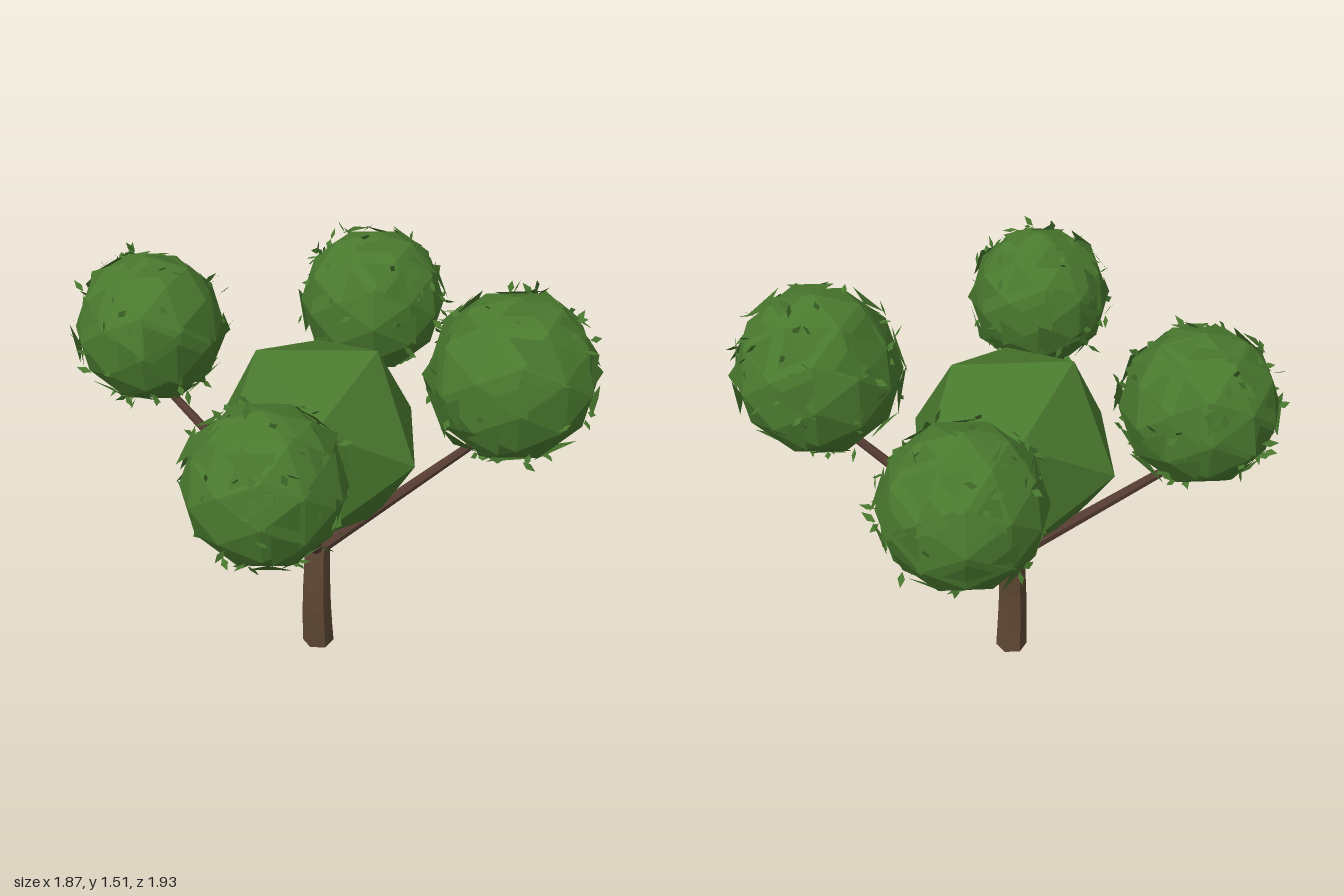
import * as THREE from 'three';

const foliage = new THREE.MeshStandardMaterial({ name: 'foliageGreen', color: 0x4a7a2f, flatShading: true });
const leafMat = new THREE.MeshStandardMaterial({ name: 'leafGreen', color: 0x47752d, flatShading: true, side: THREE.DoubleSide });
const bark = new THREE.MeshStandardMaterial({ name: 'trunkBrown', color: 0x5f4834, flatShading: true });
const branchBark = new THREE.MeshStandardMaterial({ name: 'branchBrown', color: 0x583e34, flatShading: true });

// Seeded random numbers
let seed = 7;
const rand = () => (seed = (seed * 16807) % 2147483647) / 2147483647;
const spread = (a) => (rand() * 2 - 1) * a;

function add(parent, name, geometry, material) {
  const mesh = new THREE.Mesh(geometry, material);
  mesh.name = name;
  parent.add(mesh);
  return mesh;
}

function randomDirection() {
  const y = rand() * 2 - 1, a = rand() * Math.PI * 2, s = Math.sqrt(1 - y * y);
  return new THREE.Vector3(s * Math.cos(a), y, s * Math.sin(a));
}

function fromTriangles(points) {
  const g = new THREE.BufferGeometry().setFromPoints(points);
  g.computeVertexNormals();
  return g;
}

// Loose shards: crown facets shrunk, tilted and lifted a little off the surface
function shardGeometry(r) {
  const pos = new THREE.IcosahedronGeometry(r, 1).getAttribute('position');
  const pts = [];
  for (let i = 0; i < pos.count; i += 3) {
    const corners = [0, 1, 2].map((k) => new THREE.Vector3().fromBufferAttribute(pos, i + k));
    const mid = corners[0].clone().add(corners[1]).add(corners[2]).divideScalar(3);
    if (rand() < (mid.y > 0 ? 0.35 : 0.6)) continue;
    const size = 0.6 + rand() * 0.35;
    const shift = new THREE.Vector3(spread(0.04), spread(0.04), spread(0.04));
    for (const c of corners) {
      c.sub(mid).multiplyScalar(size).add(mid).add(shift);
      c.setLength(r * (0.97 + rand() * 0.1));
      pts.push(c);
    }
  }
  return fromTriangles(pts);
}

// Small pointed leaves scattered over the crown
function leafGeometry(r, count) {
  const pts = [];
  for (let i = 0; i < count; i++) {
    const out = randomDirection();
    const base = out.clone().multiplyScalar(r * (0.95 + rand() * 0.07));
    const along = randomDirection().addScaledVector(out, 0.5).normalize();
    const side = new THREE.Vector3().crossVectors(along, randomDirection()).normalize();
    const length = 0.04 + rand() * 0.02, half = 0.012;
    const tip = base.clone().addScaledVector(along, length);
    const mid = base.clone().addScaledVector(along, length * 0.45);
    const a = mid.clone().addScaledVector(side, half);
    const b = mid.clone().addScaledVector(side, -half);
    pts.push(base, a, tip, base, tip, b);
  }
  return fromTriangles(pts);
}

// Tapered straight branch between two points
function branch(parent, from, to) {
  const dir = to.clone().sub(from);
  const mesh = add(parent, 'branch', new THREE.CylinderGeometry(0.014, 0.025, dir.length(), 7), branchBark);
  mesh.position.copy(from).addScaledVector(dir, 0.5);
  mesh.quaternion.setFromUnitVectors(new THREE.Vector3(0, 1, 0), dir.normalize());
}

export function createModel() {
  const tree = new THREE.Group();
  tree.name = 'tree';

  // Trunk: ridged, tapered and slightly bowed
  const height = 0.44;
  const trunk = new THREE.CylinderGeometry(0.043, 0.055, height, 12, 5);
  trunk.translate(0, height / 2, 0);
  const p = trunk.getAttribute('position');
  for (let i = 0; i < p.count; i++) {
    const ridge = 1 + 0.07 * Math.cos(6 * Math.atan2(p.getZ(i), p.getX(i)));
    const bow = Math.sin((p.getY(i) / height) * Math.PI);
    p.setX(i, p.getX(i) * ridge - 0.005 * bow);
    p.setZ(i, p.getZ(i) * ridge + 0.014 * bow);
  }
  trunk.computeVertexNormals();
  add(tree, 'trunk', trunk, bark).position.set(-0.06, 0, -0.02);

  // Large central crown
  add(tree, 'centralCrown', new THREE.IcosahedronGeometry(0.4, 0), foliage).position.set(-0.06, 0.91, -0.02);

  // Four outer crowns, each on its own branch: x, y, z, radius, branch end height
  const fork = new THREE.Vector3(-0.06, 0.42, -0.02);
  const crowns = [
    [-0.665, 1.215, -0.27, 0.27, 1.02],
    [0.61, 1.2, 0.06, 0.295, 1.03],
    [0.14, 1.13, -0.69, 0.275, 1.06],
    [-0.21, 1.14, 0.68, 0.265, 1.08],
  ];
  for (const [x, y, z, r, tipY] of crowns) {
    branch(tree, fork, new THREE.Vector3(x, tipY, z));
    const crown = new THREE.Group();
    crown.name = 'outerCrown';
    crown.position.set(x, y, z);
    add(crown, 'crownBall', new THREE.IcosahedronGeometry(r, 1), foliage);
    add(crown, 'leafShards', shardGeometry(r), leafMat);
    add(crown, 'smallLeaves', leafGeometry(r, 70), leafMat);
    tree.add(crown);
  }
  return tree;
}
